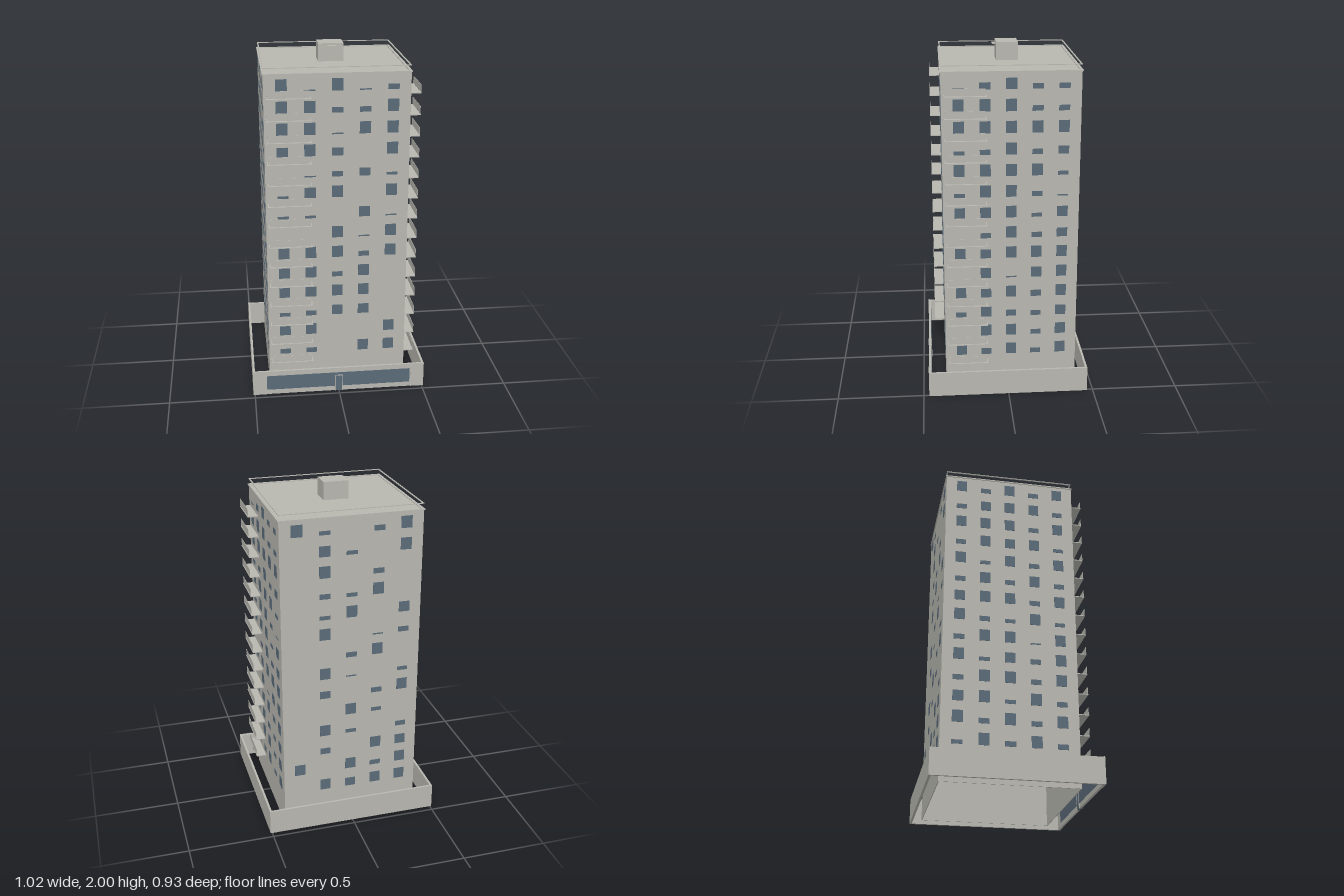
import * as THREE from 'three';
import { mergeGeometries } from 'three/addons/utils/BufferGeometryUtils.js';

const concrete = new THREE.MeshStandardMaterial({ color: 0xb8b7b0 });
concrete.name = 'concrete';
const glass = new THREE.MeshStandardMaterial({ color: 0x5a6b79 });
glass.name = 'window glass';

const FLOORS = 14, FIRST = 0.18, PITCH = 0.1225;
const TOWER = { w: 0.81, d: 0.767, z: -0.02, top: 1.9 };

// Box given by its minimum and maximum corners
function box(x0, x1, y0, y1, z0, z1) {
  return new THREE.BoxGeometry(x1 - x0, y1 - y0, z1 - z0)
    .translate((x0 + x1) / 2, (y0 + y1) / 2, (z0 + z1) / 2);
}

// Four-sided rectangular frame of wall thickness t
function ring(w, d, y0, y1, t, cz = 0) {
  const x = w / 2, z = d / 2;
  return mergeGeometries([
    box(-x, x, y0, y1, z - t, z),
    box(-x, x, y0, y1, -z, -z + t),
    box(-x, -x + t, y0, y1, -z + t, z - t),
    box(x - t, x, y0, y1, -z + t, z - t),
  ]).translate(0, 0, cz);
}

// Window heights per floor, bottom to top; 0 = none, 9 = full height
const WINDOWS = {
  front: ['44099', '99009', '34880', '98990', '99490', '99949', '00919', '22081',
    '28909', '01462', '79609', '99199', '99449', '91914'],
  right: ['85949', '09949', '48548', '97959', '08189', '87999', '04947', '88938',
    '39941', '99993', '34946', '99999', '99944', '15844'],
  back: ['09799', '90949', '05098', '09304', '00930', '06049', '09103', '00490',
    '09014', '03908', '04390', '09040', '08309', '93049'],
  left: ['39494', '94949', '89394', '49949', '93849', '49919', '94393', '89949',
    '49494', '93949', '49893', '99949', '48994', '94949'],
};

function windowWall(name, rows, step, width, distance, angle) {
  const parts = [];
  rows.forEach((row, floor) => [...row].forEach((digit, col) => {
    if (digit === '0') return;
    const x = (col - 2) * step, y = FIRST + 0.03 + floor * PITCH;
    parts.push(box(x - width / 2, x + width / 2, y, y + Number(digit) * 0.0076,
      distance - 0.002, distance + 0.002));
  }));
  const mesh = new THREE.Mesh(mergeGeometries(parts), glass);
  mesh.name = name;
  mesh.rotation.y = angle;
  mesh.position.z = TOWER.z;
  return mesh;
}

export function createModel() {
  const model = new THREE.Group();
  model.name = 'apartmentTower';
  const add = (name, geometry, material = concrete) => {
    const mesh = new THREE.Mesh(geometry, material);
    mesh.name = name;
    model.add(mesh);
  };
  const { w, d, z, top } = TOWER;
  const front = z + d / 2, side = w / 2;

  // Open-topped podium wall with raised front corners
  add('podiumWall', ring(1.02, 0.93, 0, 0.15, 0.013));
  for (const s of [-1, 1]) {
    add('podiumCorner', box(s * 0.47 - 0.04, s * 0.47 + 0.04, 0, 0.153, 0.462, 0.468));
  }

  // Shop front, seen from inside as well, and the entrance
  add('shopFrontGlass', box(-0.428, 0.425, 0.03, 0.12, 0.45, 0.4665), glass);
  add('doorGlass', box(-0.019, 0.019, 0, 0.1, 0.449, 0.468), glass);
  for (const s of [-1, 1]) {
    add('doorJamb', box(s * 0.021 - 0.002, s * 0.021 + 0.002, 0, 0.104, 0.448, 0.469));
  }
  add('doorLintel', box(-0.023, 0.023, 0.1, 0.104, 0.448, 0.469));

  // Hollow tower shaft, roof, coping and floating roof rail
  add('towerWalls', ring(w, d, 0, top - 0.006, 0.004, z));
  add('roof', box(-side, side, top - 0.012, top - 0.003, z - d / 2, front));
  add('roofCoping', ring(w + 0.01, d + 0.01, top - 0.006, top + 0.001, 0.016, z));
  add('roofRail', ring(w, d, 1.929, 1.933, 0.008, z));

  // Roof housing with a small canopy
  add('roofHousing', box(-0.074, 0.071, top - 0.006, 2, -0.084, 0.041));
  add('roofHousingCanopy', box(-0.028, 0.025, 1.983, 1.988, 0.041, 0.062));

  // Windows on the four walls
  model.add(
    windowWall('frontWindows', WINDOWS.front, 0.154, 0.063, d / 2, 0),
    windowWall('rightWindows', WINDOWS.right, 0.145, 0.06, side, Math.PI / 2),
    windowWall('backWindows', WINDOWS.back, 0.154, 0.063, d / 2, Math.PI),
    windowWall('leftWindows', WINDOWS.left, 0.145, 0.06, side, -Math.PI / 2),
  );

  // Balcony stacks on the front and on the +x side
  for (let i = 0; i < FLOORS; i++) {
    const y = FIRST + i * PITCH;
    add('frontBalconyFloor', box(-0.394, -0.148, y - 0.003, y + 0.002, front, 0.424));
    add('frontBalconyPanel', box(-0.39, -0.156, y + 0.006, y + 0.047, 0.421, 0.423));
    add('sideBalconyFloor', box(side, 0.465, y - 0.003, y + 0.002, 0.118, 0.349));
    add('sideBalconyPanel', box(0.462, 0.464, y + 0.006, y + 0.047, 0.125, 0.346));
  }
  return model;
}
